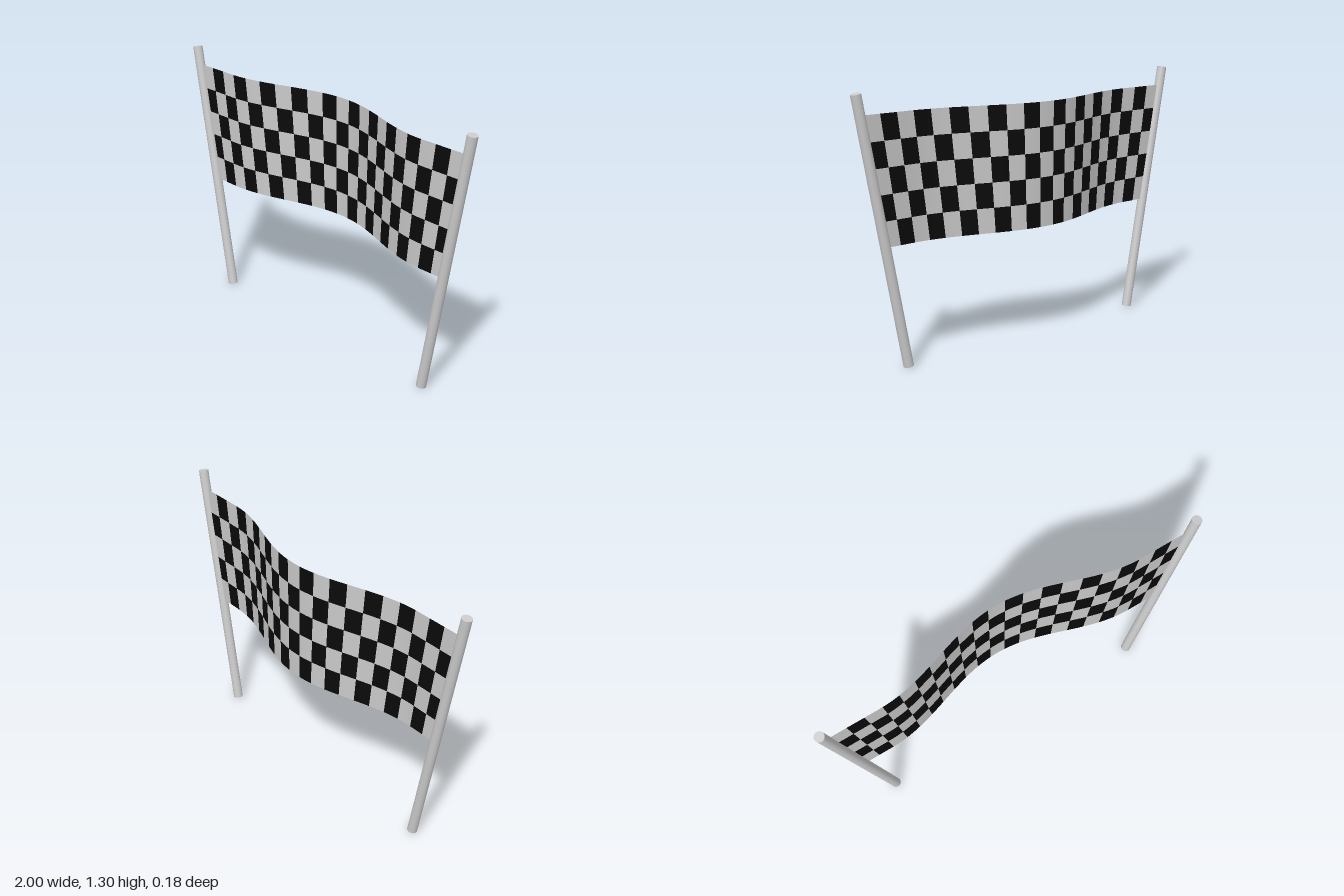
import * as THREE from 'three';

const COLS = 21, ROWS = 5, SUB = 4;
const TOP = 1.2, BOTTOM = 0.59;

// Depth of the billowing cloth: bowed back in the middle, level near the poles
function billow(x) {
  const t = Math.min(Math.abs(x) / 0.69, 1);
  return -0.015 - 0.075 * Math.cos(Math.PI * t);
}

// Tapered, curved sheet shared by the light and dark squares
function bannerGeometry() {
  const geo = new THREE.PlaneGeometry(2, 1, COLS * SUB, ROWS);
  const pos = geo.attributes.position;
  for (let i = 0; i < pos.count; i++) {
    const v = pos.getY(i) + 0.5;
    const x = pos.getX(i) * THREE.MathUtils.lerp(0.842, 0.945, v);
    pos.setXYZ(i, x, THREE.MathUtils.lerp(BOTTOM, TOP, v), billow(x));
  }
  geo.computeVertexNormals();
  return geo;
}

// Keep only the squares of one checker colour
function checkerSquares(sheet, parity) {
  const geo = sheet.clone();
  const index = [];
  for (let row = 0; row < ROWS; row++) {
    for (let col = 0; col < COLS * SUB; col++) {
      if ((row + Math.floor(col / SUB)) % 2 !== parity) continue;
      const start = (row * COLS * SUB + col) * 6;
      for (let k = 0; k < 6; k++) index.push(sheet.index.getX(start + k));
    }
  }
  geo.setIndex(index);
  return geo;
}

// Round pole leaning outward
function createPole(side, material) {
  const foot = new THREE.Vector3(side * 0.731, 0.0045, 0.065);
  const tip = new THREE.Vector3(side * 0.976, 1.295, 0.065);
  const axis = tip.clone().sub(foot);
  const pole = new THREE.Mesh(new THREE.CylinderGeometry(0.0245, 0.0245, axis.length(), 32), material);
  pole.position.copy(foot).add(tip).multiplyScalar(0.5);
  pole.quaternion.setFromUnitVectors(new THREE.Vector3(0, 1, 0), axis.normalize());
  pole.name = side > 0 ? 'leftPole' : 'rightPole';
  return pole;
}

export function createModel() {
  const model = new THREE.Group();
  model.name = 'finishBanner';
  const grey = new THREE.MeshStandardMaterial({ color: 0xcccccc });
  const light = new THREE.MeshStandardMaterial({ color: 0xcccccc, side: THREE.DoubleSide });
  const dark = new THREE.MeshStandardMaterial({ color: 0x0a0a0a, side: THREE.DoubleSide });

  for (const side of [-1, 1]) model.add(createPole(side, grey));

  // Chequered cloth, light squares in the corners
  const banner = new THREE.Group();
  banner.name = 'banner';
  const sheet = bannerGeometry();
  [light, dark].forEach((material, parity) => {
    const squares = new THREE.Mesh(checkerSquares(sheet, parity), material);
    squares.name = parity ? 'darkSquares' : 'lightSquares';
    banner.add(squares);
  });
  model.add(banner);
  return model;
}
